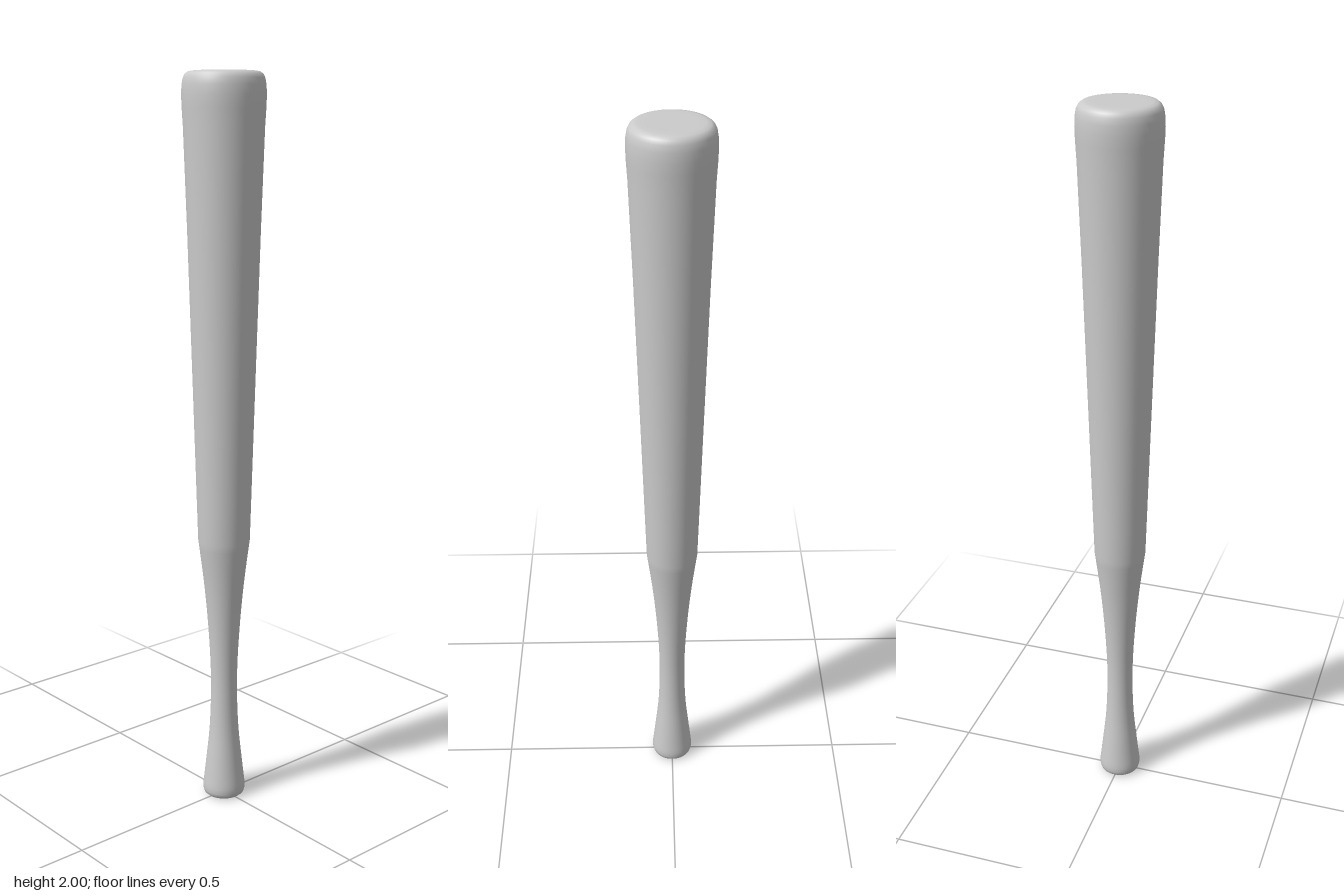
import * as THREE from 'three';

export function createModel() {
  const group = new THREE.Group();
  group.name = 'bat';
  const material = new THREE.MeshStandardMaterial({ color: 0xcccccc });

  // Smooth handle curve: flared knob, narrow grip, widening shoulder
  const handle = new THREE.SplineCurve([
    [0.059, 0.03], [0.05, 0.11], [0.041, 0.2], [0.037, 0.3], [0.038, 0.4],
    [0.045, 0.52], [0.056, 0.64], [0.071, 0.76],
  ].map(([r, y]) => new THREE.Vector2(r, y))).getPoints(28);

  // Full profile from the centre of the base to the centre of the tip
  const profile = [
    [0, 0], [0.03, 0], [0.05, 0.001], [0.056, 0.006], [0.059, 0.016],
    ...handle.map((p) => [p.x, p.y]),
    [0.074, 0.86], [0.084, 1.2], [0.096, 1.6], [0.105, 1.86],
    [0.108, 1.91], [0.109, 1.94], [0.108, 1.965], [0.105, 1.982],
    [0.1, 1.992], [0.092, 1.998], [0.08, 2], [0.06, 2], [0, 2],
  ].map(([r, y]) => new THREE.Vector2(r, y));

  const body = new THREE.Mesh(new THREE.LatheGeometry(profile, 64), material);
  body.name = 'batBody';
  group.add(body);
  return group;
}
